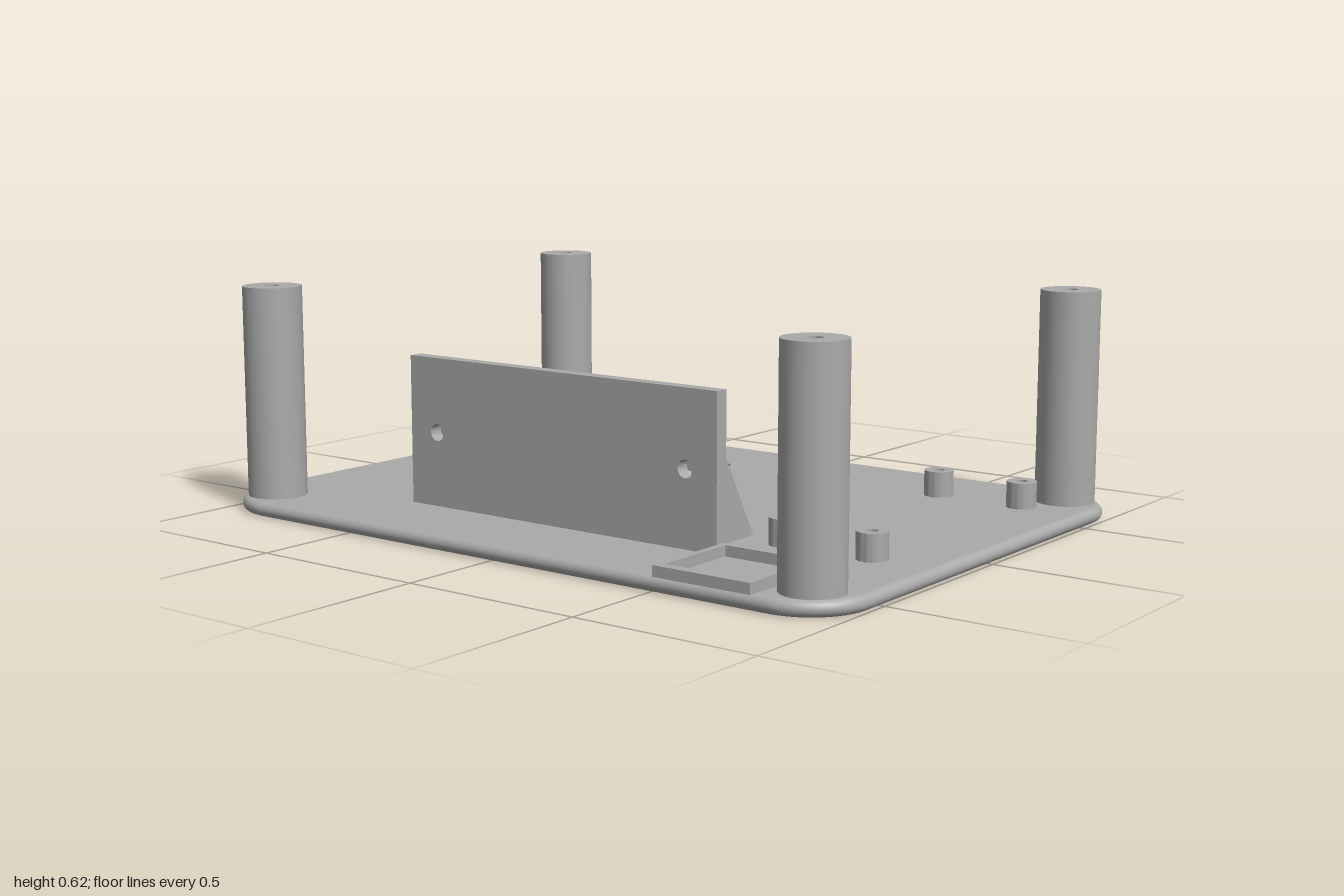
import * as THREE from 'three';
import { toCreasedNormals } from 'three/addons/utils/BufferGeometryUtils.js';

const T = 0.04;                       // plate thickness
const W = 1, D = 0.73, R = 0.17;      // plate half sizes and corner radius

function roundedRect(path, x0, y0, x1, y1, r) {
  path.absarc(x1 - r, y1 - r, r, 0, Math.PI / 2);
  path.absarc(x0 + r, y1 - r, r, Math.PI / 2, Math.PI);
  path.absarc(x0 + r, y0 + r, r, Math.PI, Math.PI * 1.5);
  path.absarc(x1 - r, y0 + r, r, Math.PI * 1.5, Math.PI * 2);
  path.closePath();
  return path;
}

function rect(path, x0, y0, x1, y1) {
  path.moveTo(x0, y0).lineTo(x1, y0).lineTo(x1, y1).lineTo(x0, y1).closePath();
  return path;
}

function extrude(shape, depth) {
  return new THREE.ExtrudeGeometry(shape, { depth, bevelEnabled: false, curveSegments: 12 });
}

// Bullnose edge: rounded-rectangle loops stacked along a half circle
function rimGeometry() {
  const pos = [], index = [], rows = 10, steps = 12, n = 4 * (steps + 1), b = T / 2;
  for (let j = 0; j <= rows; j++) {
    const t = -Math.PI / 2 + Math.PI * j / rows;
    const r = R - b * (1 - Math.cos(t));
    for (let k = 0; k < 4; k++) {
      const sx = k === 0 || k === 3 ? 1 : -1, sz = k < 2 ? 1 : -1;
      for (let i = 0; i <= steps; i++) {
        const a = (k + i / steps) * Math.PI / 2;
        pos.push(sx * (W - R) + r * Math.cos(a), b + b * Math.sin(t), sz * (D - R) + r * Math.sin(a));
      }
    }
  }
  for (let j = 0; j < rows; j++) {
    for (let i = 0; i < n; i++) {
      const p = j * n + i, q = j * n + (i + 1) % n;
      index.push(p, p + n, q, q, p + n, q + n);
    }
  }
  const g = new THREE.BufferGeometry();
  g.setAttribute('position', new THREE.Float32BufferAttribute(pos, 3));
  g.setIndex(index);
  g.computeVertexNormals();
  return g;
}

// Upright tube with a blind screw hole
function tubeGeometry(radius, hole, height) {
  const profile = [[radius, 0], [radius, height], [hole, height], [hole, 0]];
  return toCreasedNormals(
    new THREE.LatheGeometry(profile.map(([x, y]) => new THREE.Vector2(x, y)), 40), 0.6);
}

export function createModel() {
  const model = new THREE.Group();
  model.name = 'mountingPlate';
  const grey = new THREE.MeshStandardMaterial({ color: 0xaaaaaa });
  grey.name = 'grey plastic';
  const add = (name, geometry, x = 0, y = 0, z = 0) => {
    const mesh = new THREE.Mesh(geometry, grey);
    mesh.name = name;
    mesh.position.set(x, y, z);
    model.add(mesh);
    return mesh;
  };

  // Base plate with cable opening, and its rounded edge
  const b = T / 2;
  const plate = roundedRect(new THREE.Shape(), -W + b, -D + b, W - b, D - b, R - b);
  plate.holes.push(roundedRect(new THREE.Path(), -0.523, 0.098, -0.123, 0.498, 0.055));
  add('basePlate', extrude(plate, T).rotateX(-Math.PI / 2));
  add('plateEdge', rimGeometry());

  // Corner posts
  const post = tubeGeometry(0.08, 0.019, 0.575);
  for (const x of [-0.88, 0.88]) for (const z of [-0.615, 0.615]) add('cornerPost', post, x, T, z);

  // Board standoffs in two groups of four
  const standoff = tubeGeometry(0.04, 0.015, 0.07);
  for (const [xs, zs] of [[[-0.73, 0.043], [-0.596, 0.06]], [[0.57, 0.823], [-0.476, 0.272]]])
    for (const x of xs) for (const z of zs) add('standoff', standoff, x, T, z);

  // Upright panel with two screw holes
  const panel = rect(new THREE.Shape(), -0.508, T, 0.505, 0.44);
  for (const x of [-0.415, 0.41]) panel.holes.push(new THREE.Path().absarc(x, 0.24, 0.023, 0, Math.PI * 2));
  add('uprightPanel', extrude(panel, 0.038), 0, 0, 0.429);

  // Triangular ribs behind the panel
  const rib = new THREE.Shape();
  rib.moveTo(-0.429, T).lineTo(-0.238, T).lineTo(-0.429, 0.39).closePath();
  const ribGeometry = extrude(rib, 0.053).rotateY(Math.PI / 2);
  for (const x of [-0.457, 0.399]) add('supportRib', ribGeometry, x);

  // Low rectangular frame near the front edge
  const frame = rect(new THREE.Shape(), 0.513, -0.73, 0.79, -0.445);
  frame.holes.push(rect(new THREE.Path(), 0.53, -0.705, 0.768, -0.465));
  add('lowFrame', extrude(frame, 0.028).rotateX(-Math.PI / 2), 0, T, 0);

  return model;
}
